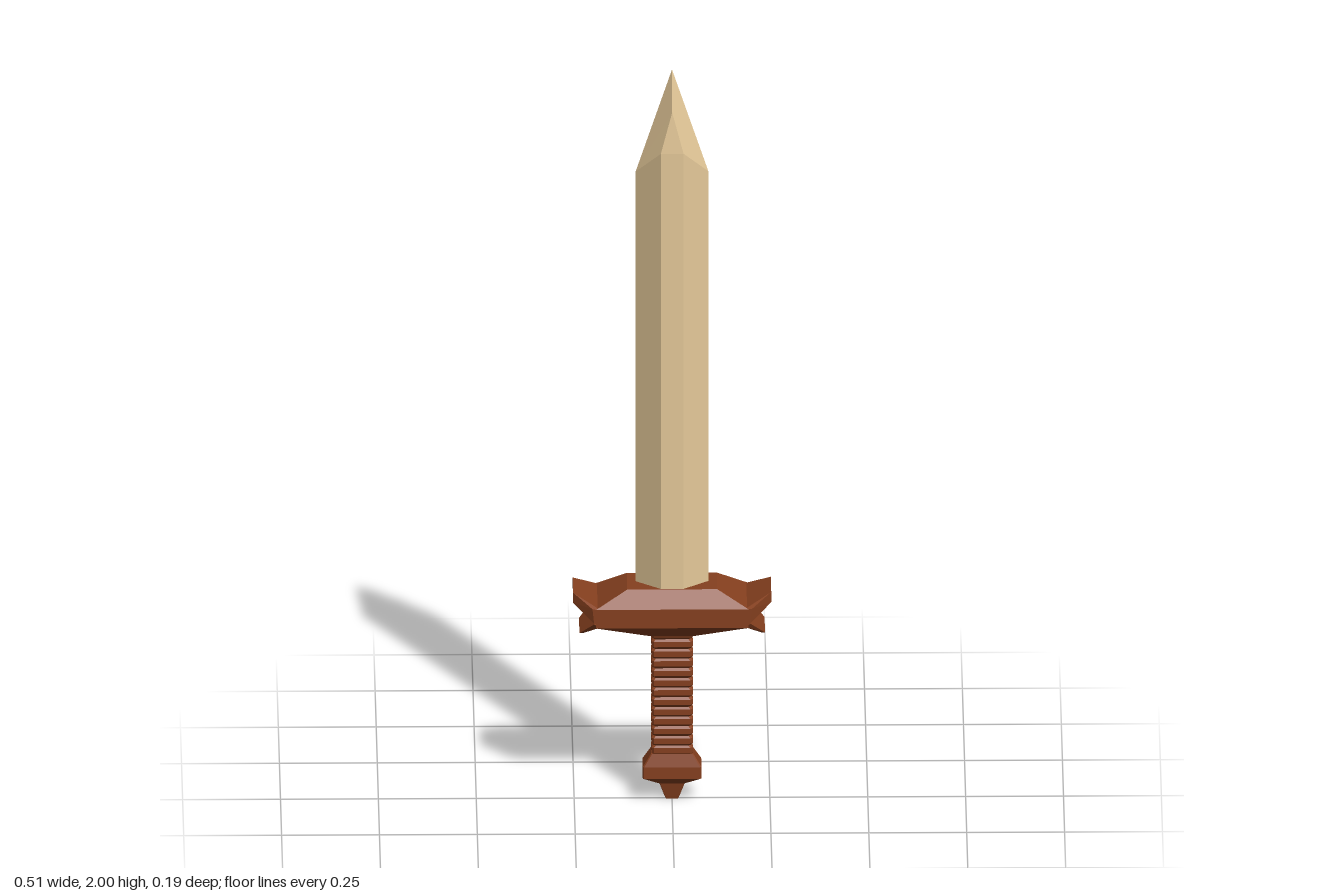
import * as THREE from 'three';
import { ConvexGeometry } from 'three/addons/geometries/ConvexGeometry.js';

const bladeMat = new THREE.MeshStandardMaterial({ color: 0xe6ca9a, flatShading: true });
const woodMat = new THREE.MeshStandardMaterial({ color: 0x86401f, flatShading: true });

// Convex facetted solid from points, each mirrored across the chosen axes
function hull(name, points, material, mirrorX = true) {
  const corners = [];
  for (const [x, y, z] of points) {
    for (const sx of mirrorX && x ? [1, -1] : [1]) {
      for (const sz of z ? [1, -1] : [1]) corners.push(new THREE.Vector3(x * sx, y, z * sz));
    }
  }
  const mesh = new THREE.Mesh(new ConvexGeometry(corners), material);
  mesh.name = name;
  return mesh;
}

// Capped loft through chamfered rectangles: [y, half width, half depth], bottom to top
function loft(name, sections, material, chamfer = 0.25) {
  const pos = [], idx = [], n = 8;
  for (const [y, w, d] of sections) {
    const c = d * chamfer;
    const ring = [[w, c - d], [w, d - c], [w - c, d], [c - w, d], [-w, d - c], [-w, c - d], [c - w, -d], [w - c, -d]];
    for (const [x, z] of ring) pos.push(x, y, z);
  }
  for (let s = 0; s < sections.length - 1; s++) {
    for (let i = 0; i < n; i++) {
      const a = s * n + i, b = s * n + (i + 1) % n;
      idx.push(a, a + n, b, b, a + n, b + n);
    }
  }
  const top = (sections.length - 1) * n;
  for (let i = 1; i < n - 1; i++) {
    idx.push(0, i, i + 1);
    idx.push(top, top + i + 1, top + i);
  }
  const indexed = new THREE.BufferGeometry();
  indexed.setAttribute('position', new THREE.Float32BufferAttribute(pos, 3));
  indexed.setIndex(idx);
  const geometry = indexed.toNonIndexed();
  geometry.computeVertexNormals();
  const mesh = new THREE.Mesh(geometry, material);
  mesh.name = name;
  return mesh;
}

export function createModel() {
  const sword = new THREE.Group();
  sword.name = 'sword';

  // Six-sided blade with a facetted point
  sword.add(hull('blade', [
    [0.093, 0.57, 0], [0.029, 0.57, 0.055],
    [0.093, 1.72, 0], [0.029, 1.79, 0.055],
    [0, 1.9, 0.046], [0, 2, 0],
  ], bladeMat));

  // Crossguard: bevelled core with a forked pair of wings at each end
  const guard = new THREE.Group();
  guard.name = 'guard';
  guard.add(hull('guardCore', [
    [0.115, 0.595, 0.058], [0.195, 0.553, 0.093],
    [0.195, 0.502, 0.093], [0.05, 0.465, 0.056],
  ], woodMat));
  for (const side of [1, -1]) {
    const upper = [
      [0.18, 0.55, 0.093], [0.204, 0.555, 0.093], [0.253, 0.585, 0.053],
      [0.253, 0.557, 0.053], [0.2, 0.515, 0.093], [0.18, 0.51, 0.093],
    ];
    const lower = [
      [0.185, 0.503, 0.09], [0.2, 0.512, 0.09],
      [0.237, 0.474, 0.053], [0.228, 0.474, 0.053],
    ];
    const place = (points) => points.map(([x, y, z]) => [x * side, y, z]);
    guard.add(hull('upperWing', place(upper), woodMat, false));
    guard.add(hull('lowerWing', place(lower), woodMat, false));
  }
  sword.add(guard);

  // Grip with a row of shallow wrapped grooves
  const bands = 13, bottom = 0.125, pitch = 0.345 / bands;
  const gripSections = [];
  for (let i = 0; i < bands; i++) {
    const y = bottom + i * pitch;
    gripSections.push([y, 0.047, 0.021], [y + pitch * 0.25, 0.053, 0.026], [y + pitch * 0.8, 0.053, 0.026]);
  }
  gripSections.push([bottom + 0.345, 0.047, 0.021]);
  sword.add(loft('grip', gripSections, woodMat));

  // Flared pommel tapering to a small stud
  sword.add(loft('pommel', [
    [0, 0.015, 0.006], [0.008, 0.019, 0.008], [0.045, 0.032, 0.016],
    [0.065, 0.075, 0.035], [0.097, 0.075, 0.035], [0.13, 0.054, 0.026],
  ], woodMat, 0.1));

  return sword;
}
